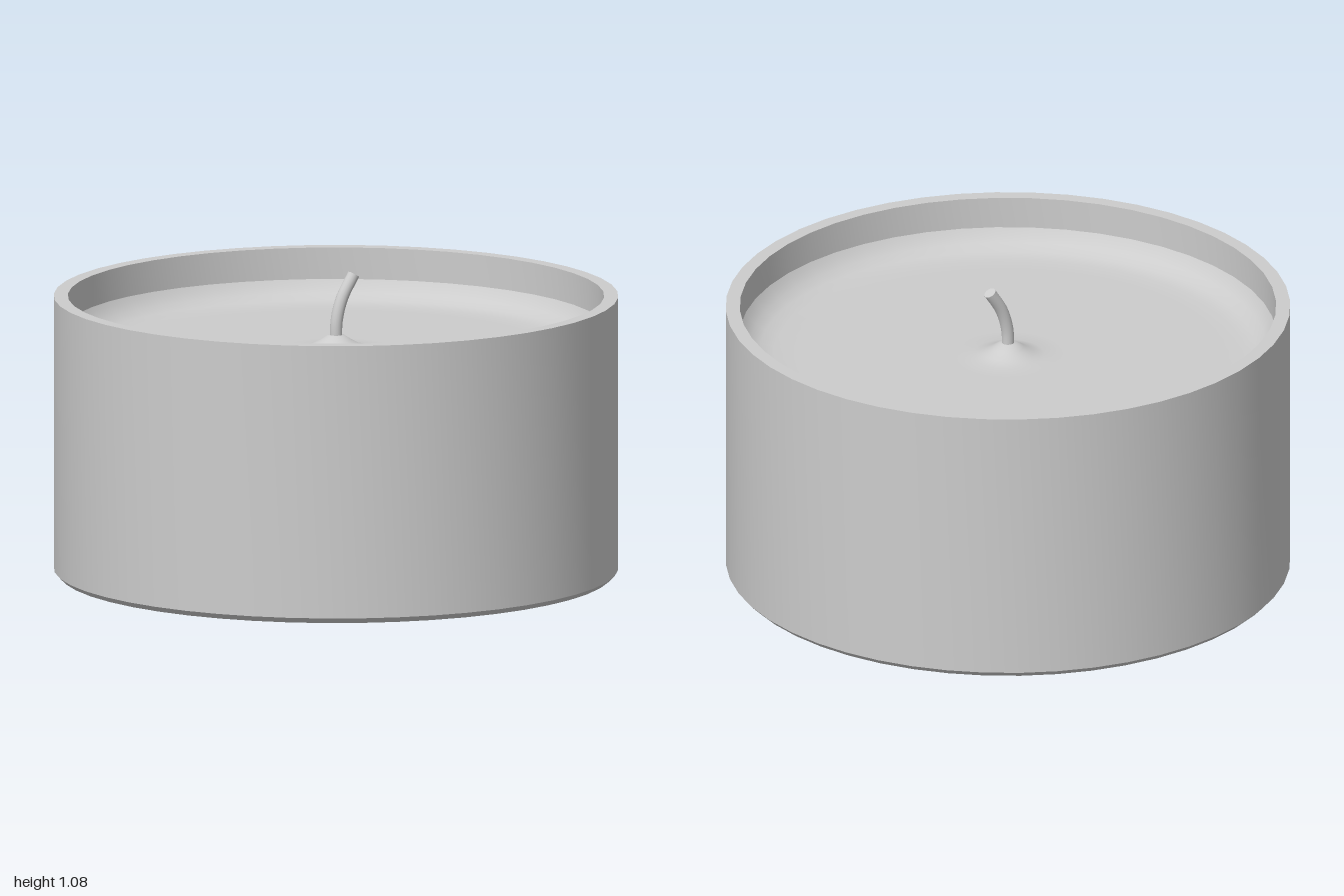
import * as THREE from 'three';
import { toCreasedNormals } from 'three/addons/utils/BufferGeometryUtils.js';

const SIDES = 48;
const points = (list) => list.map(([x, y]) => new THREE.Vector2(x, y));

export function createModel() {
  const group = new THREE.Group();
  const grey = new THREE.MeshStandardMaterial({ color: 0xcccccc });
  grey.name = 'light grey';

  const add = (name, geometry) => {
    const mesh = new THREE.Mesh(geometry, grey);
    mesh.name = name;
    group.add(mesh);
    return mesh;
  };

  // Cup: chamfered base, straight outer wall, flat rim and inner wall
  const cupProfile = points([[0, 0], [0.98, 0], [1, 0.02], [1, 1], [0.95, 1], [0.95, 0.78]]);
  add('cup', toCreasedNormals(new THREE.LatheGeometry(cupProfile, SIDES), 0.5));

  // Wax: rises at the wall and in a small mound around the wick
  const waxProfile = points([
    [0.955, 0.895], [0.94, 0.87], [0.915, 0.842], [0.88, 0.822], [0.83, 0.812], [0.75, 0.81],
    [0.2, 0.81], [0.13, 0.813], [0.09, 0.823], [0.055, 0.842], [0.03, 0.858], [0, 0.862],
  ]);
  add('wax', new THREE.LatheGeometry(waxProfile, SIDES));

  // Wick: upright at the wax, bending towards the back
  const path = new THREE.CatmullRomCurve3([
    new THREE.Vector3(0, 0.82, 0),
    new THREE.Vector3(0, 0.91, -0.003),
    new THREE.Vector3(0, 0.99, -0.027),
    new THREE.Vector3(0, 1.068, -0.076),
  ]);
  add('wick', new THREE.TubeGeometry(path, 12, 0.022, 16));

  // Flat end of the wick
  const tip = add('wickTip', new THREE.CircleGeometry(0.022, 16));
  tip.position.copy(path.getPointAt(1));
  tip.quaternion.setFromUnitVectors(new THREE.Vector3(0, 0, 1), path.getTangentAt(1));

  return group;
}
